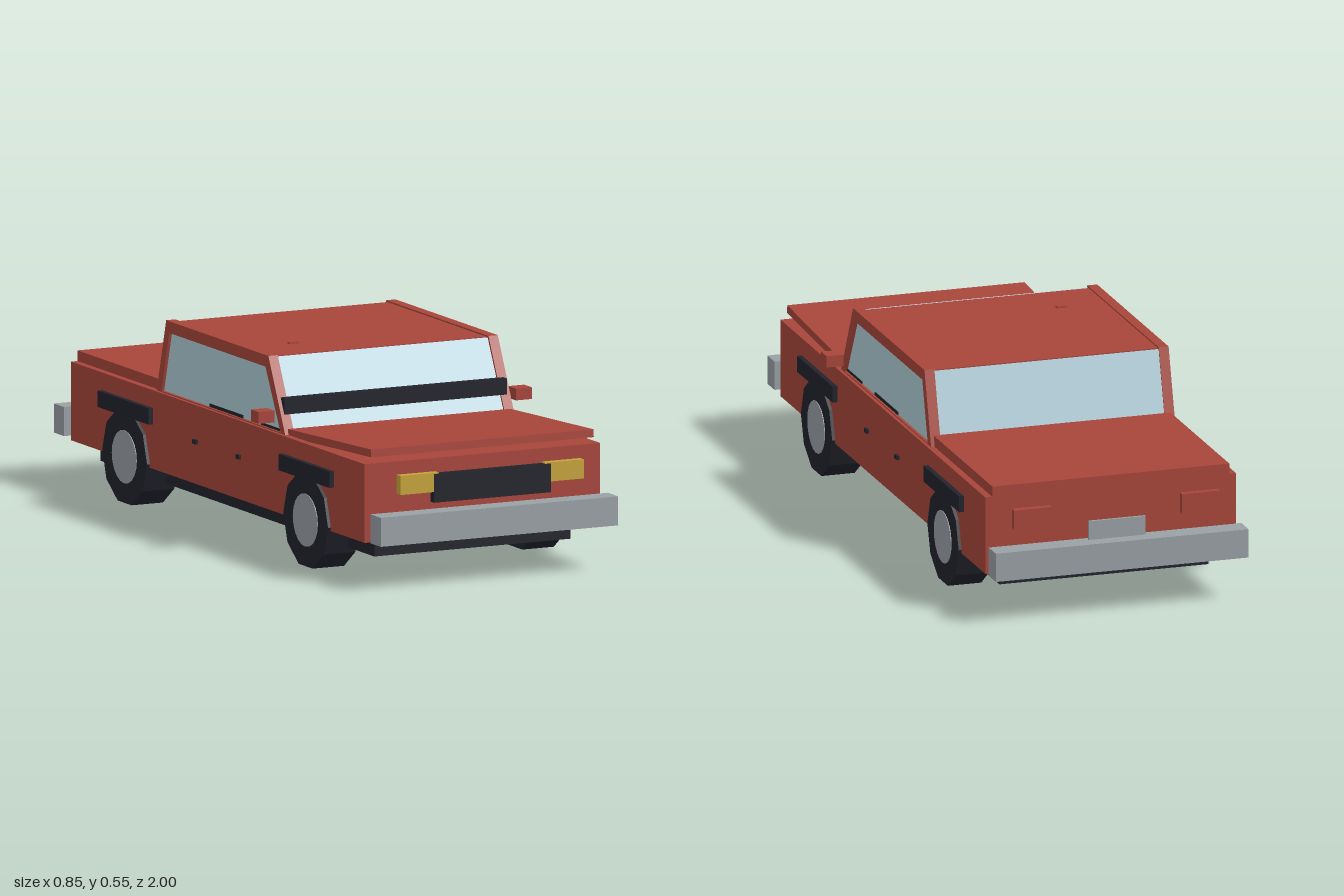
import * as THREE from 'three';

const mat = (name, color, extra = {}) => {
  const m = new THREE.MeshStandardMaterial({ color, ...extra });
  m.name = name;
  return m;
};

export function createModel() {
  const red = mat('red paint', 0xa8463b);
  const black = mat('black trim', 0x22232c);
  const grey = mat('grey metal', 0x9aa1a6);
  const yellow = mat('yellow lamp', 0xc6a43a);
  const glass = mat('pale blue glass', 0xb0ced9, { side: THREE.DoubleSide });

  const car = new THREE.Group();
  car.name = 'car';
  const add = (name, geometry, material) => {
    const mesh = new THREE.Mesh(geometry, material);
    mesh.name = name;
    car.add(mesh);
    return mesh;
  };
  // Box given by its limits on each axis
  const box = (name, material, [x0, x1], [y0, y1], [z0, z1]) =>
    add(name, new THREE.BoxGeometry(x1 - x0, y1 - y0, z1 - z0), material)
      .position.set((x0 + x1) / 2, (y0 + y1) / 2, (z0 + z1) / 2);
  // The same box on both sides of the car
  const pair = (name, material, [x0, x1], y, z) => {
    box(name + 'Left', material, [x0, x1], y, z);
    box(name + 'Right', material, [-x1, -x0], y, z);
  };
  // Sloping plate whose middle line runs from (z0, y0) to (z1, y1)
  const slab = (name, material, halfWidth, thickness, [z0, y0], [z1, y1]) => {
    const length = Math.hypot(z1 - z0, y1 - y0);
    const mesh = add(name, new THREE.BoxGeometry(halfWidth * 2, thickness, length), material);
    mesh.position.set(0, (y0 + y1) / 2, (z0 + z1) / 2);
    mesh.rotation.x = -Math.atan2(y1 - y0, z1 - z0);
  };
  // Side outline of points (z, y), extruded across x
  const sidePlate = (name, material, points, hole, x, depth) => {
    const toVec = (p) => new THREE.Vector2(...p);
    const shape = new THREE.Shape(points.map(toVec));
    if (hole) shape.holes.push(new THREE.Path(hole.map(toVec)));
    const geometry = new THREE.ExtrudeGeometry(shape, { depth, bevelEnabled: false });
    geometry.rotateY(-Math.PI / 2).translate(x + depth / 2, 0, 0);
    add(name, geometry, material);
  };

  // Lower body
  box('chassis', black, [-0.306, 0.306], [0.067, 0.121], [-0.84, 0.835]);
  box('body', red, [-0.367, 0.367], [0.12, 0.342], [-0.9, 0.895]);
  box('trunkLid', red, [-0.347, 0.347], [0.34, 0.372], [-0.9, -0.385]);
  slab('hood', red, 0.347, 0.022, [0.388, 0.347], [0.895, 0.371]);

  // Cabin
  const outer = [[0.392, 0.34], [0.288, 0.549], [-0.337, 0.549], [-0.396, 0.34]];
  const opening = [[0.362, 0.345], [0.27, 0.516], [-0.318, 0.516], [-0.366, 0.345]];
  for (const [side, s] of [['Left', 1], ['Right', -1]]) {
    sidePlate('sideFrame' + side, red, outer, opening, s * 0.343, 0.029);
    sidePlate('sideWindow' + side, glass, opening, null, s * 0.346, 0.006);
  }
  box('roof', red, [-0.345, 0.345], [0.536, 0.545], [-0.33, 0.275]);
  slab('windshield', glass, 0.33, 0.006, [0.382, 0.342], [0.28, 0.543]);
  slab('rearWindow', glass, 0.33, 0.006, [-0.39, 0.342], [-0.333, 0.543]);
  box('windshieldBand', black, [-0.347, 0.347], [0.395, 0.44], [0.34, 0.366]);
  pair('frontSill', black, [0.345, 0.351], [0.342, 0.352], [0.23, 0.36]);
  pair('rearSill', black, [0.345, 0.351], [0.342, 0.354], [-0.085, 0.12]);
  box('roofAerial', red, [-0.212, -0.183], [0.544, 0.55], [0.118, 0.132]);
  pair('mirror', red, [0.376, 0.426], [0.375, 0.408], [0.315, 0.362]);

  // Wheels, arches and door handles
  const tyre = new THREE.CylinderGeometry(0.137, 0.137, 0.098, 10).toNonIndexed();
  tyre.computeVertexNormals();
  tyre.rotateZ(Math.PI / 2);
  const hub = new THREE.CylinderGeometry(0.075, 0.075, 0.102, 20).rotateZ(Math.PI / 2);
  for (const [end, z] of [['front', 0.552], ['rear', -0.555]]) {
    for (const [side, s] of [['Left', 1], ['Right', -1]]) {
      add(end + 'Tyre' + side, tyre, black).position.set(s * 0.327, 0.13, z);
      add(end + 'Hub' + side, hub, grey).position.set(s * 0.327, 0.13, z);
    }
    pair(end + 'ArchTrim', black, [0.35, 0.381], [0.246, 0.292], [z - 0.156, z + 0.156]);
  }
  for (const z of [0.13, -0.135])
    pair('doorHandle', black, [0.36, 0.375], [0.234, 0.246], [z - 0.01, z + 0.01]);

  // Nose
  box('frontBumper', grey, [-0.37, 0.37], [0.126, 0.208], [0.937, 1]);
  box('grille', black, [-0.182, 0.182], [0.228, 0.309], [0.936, 0.957]);
  pair('headlight', yellow, [0.165, 0.286], [0.258, 0.312], [0.932, 0.955]);

  // Tail
  box('rearBumper', grey, [-0.37, 0.37], [0.126, 0.208], [-1, -0.937]);
  box('numberPlate', grey, [-0.083, 0.083], [0.205, 0.262], [-0.957, -0.949]);
  pair('tailLight', red, [0.19, 0.302], [0.258, 0.314], [-0.956, -0.936]);

  return car;
}
